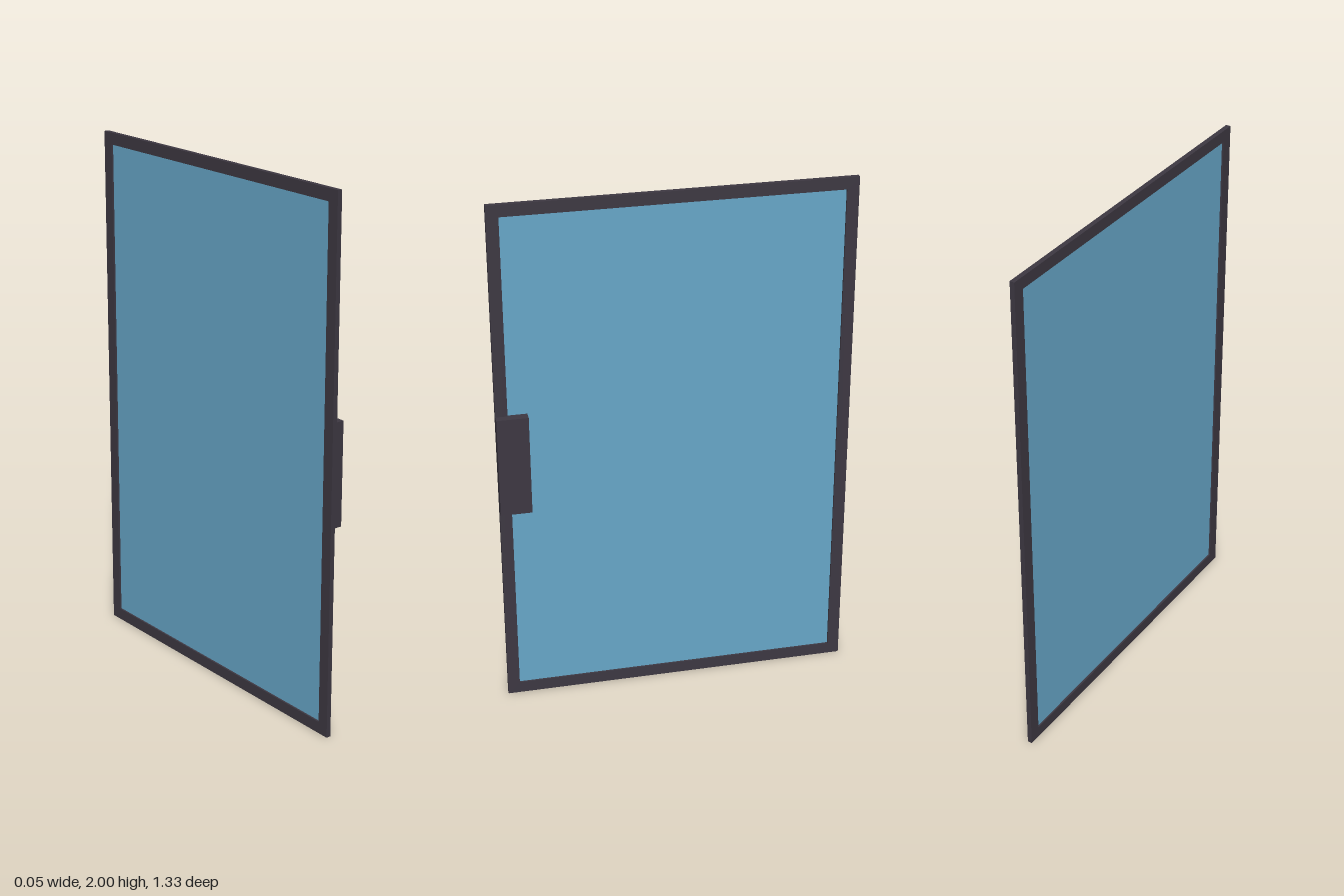
import * as THREE from 'three';

const HALF_WIDTH = 0.663, HEIGHT = 2, BORDER = 0.045;
const BACK = -0.024, FACE = -0.006, GRIP = 0.023; // x positions of the layers

// Rectangle path in the (z, y) plane of the panel
function rectangle(path, inset) {
  const w = HALF_WIDTH - inset, lo = inset, hi = HEIGHT - inset;
  path.moveTo(-w, lo);
  path.lineTo(w, lo);
  path.lineTo(w, hi);
  path.lineTo(-w, hi);
  path.closePath();
  return path;
}

// Box given by its min and max corners
function block(name, min, max, material) {
  const size = max.map((v, i) => v - min[i]);
  const mesh = new THREE.Mesh(new THREE.BoxGeometry(...size), material);
  mesh.position.set(...max.map((v, i) => (v + min[i]) / 2));
  mesh.name = name;
  return mesh;
}

export function createModel() {
  const group = new THREE.Group();
  group.name = 'glassDoor';
  const dark = new THREE.MeshStandardMaterial({ color: 0x3d3842 });
  const blue = new THREE.MeshStandardMaterial({ color: 0x67a7c9 });

  // Frame: one rectangular ring, turned to lie in the y-z plane
  const outline = rectangle(new THREE.Shape(), 0);
  outline.holes.push(rectangle(new THREE.Path(), BORDER));
  const ring = new THREE.ExtrudeGeometry(outline, { depth: FACE - BACK, bevelEnabled: false });
  ring.rotateY(-Math.PI / 2).translate(FACE, 0, 0);
  const frame = new THREE.Mesh(ring, dark);
  frame.name = 'frame';
  group.add(frame);

  // Glass pane, recessed from both faces of the frame
  const w = HALF_WIDTH - BORDER;
  group.add(block('glassPane', [-0.017, BORDER, -w], [-0.013, HEIGHT - BORDER, w], blue));

  // Handle: flush with the front edge, with a filler reaching down to the glass
  group.add(block('handle', [FACE, 0.808, 0.546], [GRIP, 1.197, HALF_WIDTH], dark));
  group.add(block('handleBase', [-0.013, 0.808, 0.546], [FACE, 1.197, w], dark));
  return group;
}
